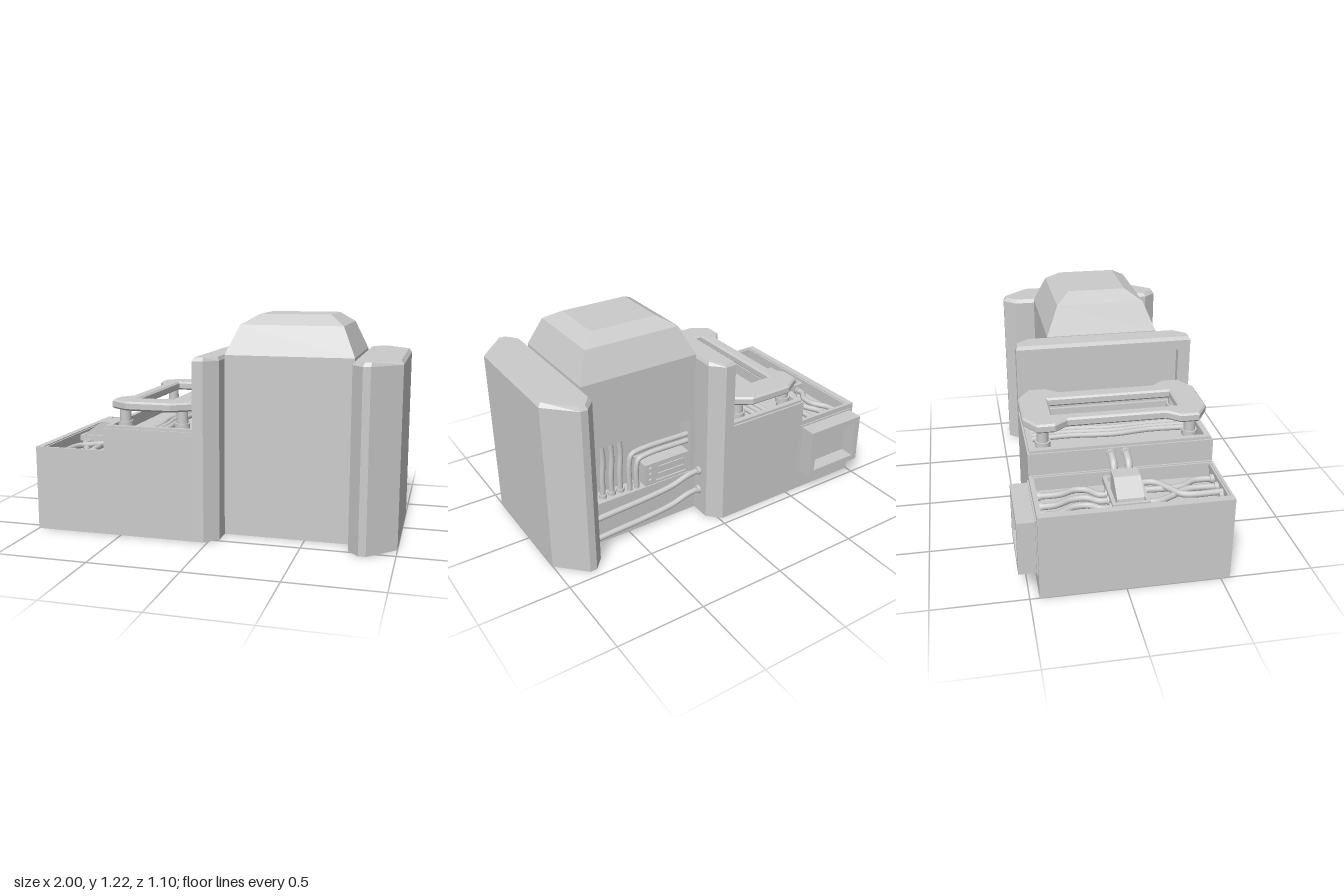
import * as THREE from 'three';

const mat = new THREE.MeshStandardMaterial({ color: 0xcccccc, side: THREE.DoubleSide });

export function createModel() {
  const root = new THREE.Group();
  const add = (name, geo) => {
    const m = new THREE.Mesh(geo, mat);
    m.name = name;
    root.add(m);
    return m;
  };
  const box = (name, x0, x1, y0, y1, z0, z1) =>
    add(name, new THREE.BoxGeometry(x1 - x0, y1 - y0, z1 - z0)
      .translate((x0 + x1) / 2, (y0 + y1) / 2, (z0 + z1) / 2));
  const rect = (a0, a1, b0, b1) => [[a0, b0], [a1, b0], [a1, b1], [a0, b1]];
  const toShape = (pts, hole) => {
    const s = new THREE.Shape(pts.map(p => new THREE.Vector2(...p)));
    if (hole) s.holes.push(new THREE.Path(hole.map(p => new THREE.Vector2(...p))));
    return s;
  };
  const extrude = (pts, hole, depth) =>
    new THREE.ExtrudeGeometry(toShape(pts, hole), { depth, bevelEnabled: false });
  // upright prism from an (x, z) outline
  const prism = (name, pts, y0, y1, hole) =>
    add(name, extrude(pts, hole, y1 - y0).rotateX(Math.PI / 2).translate(0, y1, 0));
  // stacked (x, z) outlines, closed with a flat top
  const loft = (name, rings) => {
    const v = [], n = rings[0].pts.length;
    const put = (r, i) => v.push(r.pts[i % n][0], r.y, r.pts[i % n][1]);
    for (let k = 0; k < rings.length - 1; k++) {
      const a = rings[k], b = rings[k + 1];
      for (let i = 0; i < n; i++) {
        put(a, i); put(b, i); put(b, i + 1);
        put(a, i); put(b, i + 1); put(a, i + 1);
      }
    }
    const top = rings[rings.length - 1];
    for (let i = 1; i < n - 1; i++) { put(top, 0); put(top, i + 1); put(top, i); }
    const g = new THREE.BufferGeometry();
    g.setAttribute('position', new THREE.Float32BufferAttribute(v, 3));
    g.computeVertexNormals();
    return add(name, g);
  };
  const inset = (pts, d) => {
    const b = new THREE.Box2().setFromPoints(pts.map(p => new THREE.Vector2(...p)));
    const c = b.getCenter(new THREE.Vector2()), s = b.getSize(new THREE.Vector2());
    return pts.map(([x, z]) => [c.x + (x - c.x) * (1 - 2 * d / s.x), c.y + (z - c.y) * (1 - 2 * d / s.y)]);
  };
  const tube = (name, pts, r) => {
    const c = new THREE.CatmullRomCurve3(pts.map(p => new THREE.Vector3(...p)));
    return add(name, new THREE.TubeGeometry(c, 32, r, 10));
  };
  const cyl = (name, r, h, x, y, z, axis = 'y') => {
    const g = new THREE.CylinderGeometry(r, r, h, 16);
    if (axis === 'x') g.rotateZ(Math.PI / 2);
    if (axis === 'z') g.rotateX(Math.PI / 2);
    return add(name, g.translate(x, y, z));
  };

  // Low block with open tray
  box('lowBlock', -1, -0.59, 0, 0.385, -0.45, 0.55);
  prism('lowTrayRim', rect(-1, -0.59, -0.45, 0.55), 0.385, 0.475, rect(-0.96, -0.6, -0.435, 0.535));
  prism('lowTrayLip', rect(-0.965, -0.595, -0.44, 0.54), 0.44, 0.47, rect(-0.95, -0.61, -0.425, 0.525));
  const trayPipes = [
    [[-0.9, -0.43], [-0.9, -0.34], [-0.85, -0.25], [-0.85, -0.17], [-0.89, -0.11], [-0.89, -0.05]],
    [[-0.82, -0.43], [-0.82, -0.34], [-0.78, -0.25], [-0.78, -0.17], [-0.82, -0.11], [-0.82, -0.05]],
    [[-0.72, -0.43], [-0.72, -0.3], [-0.69, -0.22], [-0.7, -0.16], [-0.76, -0.1], [-0.76, -0.05]],
    [[-0.87, 0.11], [-0.87, 0.18], [-0.83, 0.27], [-0.78, 0.36], [-0.78, 0.53]],
    [[-0.7, 0.11], [-0.71, 0.2], [-0.78, 0.26], [-0.85, 0.32], [-0.86, 0.53]],
    [[-0.75, 0.11], [-0.75, 0.33], [-0.7, 0.42], [-0.7, 0.53]],
  ];
  trayPipes.forEach((p, i) => {
    tube('trayPipe', p.map(([x, z]) => [x, 0.425 + (i === 4 ? 0.015 : 0), z]), 0.017);
    for (const [x, z] of [p[0], p[p.length - 1]]) {
      const zc = z + (z < -0.2 || (z > 0 && z < 0.2) ? 0.015 : -0.015);
      cyl('pipeCollar', 0.024, 0.02, x, 0.425, zc, 'z');
    }
  });

  // Junction box with wedge cover and elbow pipes
  box('junctionBox', -0.92, -0.65, 0.385, 0.44, -0.055, 0.12);
  prism('junctionRim', rect(-0.93, -0.64, -0.065, 0.13), 0.43, 0.465, rect(-0.91, -0.66, -0.045, 0.11));
  add('wedgeCover', extrude([[-0.905, 0.44], [-0.72, 0.44], [-0.72, 0.545], [-0.8, 0.545], [-0.9, 0.475]],
    null, 0.14).translate(0, 0, -0.037));
  for (const z of [-0.01, 0.07]) {
    tube('elbowPipe', [[-0.69, 0.42, z], [-0.69, 0.5, z], [-0.665, 0.55, z], [-0.62, 0.568, z], [-0.57, 0.57, z]], 0.02);
    cyl('elbowCollar', 0.027, 0.02, -0.6, 0.57, z, 'x');
  }

  // Framed port on the back
  const port = rect(-0.97, -0.59, 0.135, 0.435);
  add('portFrame', extrude(port, rect(-0.935, -0.625, 0.17, 0.4), 0.085).translate(0, 0, -0.55));
  box('portPlate', -0.97, -0.59, 0.135, 0.435, -0.465, -0.45);
  box('portFlange', -0.98, -0.58, 0.125, 0.445, -0.457, -0.45);

  // Middle block with open tray
  box('middleBlock', -0.59, -0.08, 0, 0.55, -0.45, 0.55);
  const midHole = rect(-0.55, -0.1, -0.41, 0.51);
  prism('middleTrayRim', rect(-0.59, -0.08, -0.45, 0.55), 0.55, 0.6, midHole);
  prism('middleTrayLip', rect(-0.58, -0.08, -0.44, 0.54), 0.6, 0.615, midHole);
  [-0.375, -0.335, -0.295].forEach((x, i) =>
    tube('middlePipe', [[x, 0.575, -0.41], [x + 0.01, 0.575, -0.2], [x - 0.01, 0.575, 0.05],
      [x + 0.012 - i * 0.006, 0.575, 0.25], [x, 0.575, 0.51]], 0.015));

  // Waisted plate with a slot, on four posts
  const half = [[0.125, 0.49], [0.22, 0.43], [0.22, 0.34], [0.165, 0.27]];
  const flip = (sx, sz) => half.map(([x, z]) => [-0.332 + sx * x, 0.04 + sz * z]);
  const outline = [...flip(1, 1), ...flip(1, -1).reverse(), ...flip(-1, -1), ...flip(-1, 1).reverse()];
  add('slottedPlate', new THREE.ExtrudeGeometry(toShape(outline, rect(-0.45, -0.235, -0.31, 0.4)),
    { depth: 0.03, bevelSize: 0.01, bevelThickness: 0.01, bevelSegments: 1 })
    .rotateX(Math.PI / 2).translate(0, 0.74, 0));
  for (const x of [-0.5, -0.17]) for (const z of [-0.36, 0.44]) {
    cyl('platePost', 0.032, 0.16, x, 0.63, z);
    cyl('postFoot', 0.042, 0.03, x, 0.615, z);
  }

  // Tall divider with recessed side face
  const divider = [[-0.08, -0.45], [-0.02, -0.45], [0.05, -0.38], [0.05, 0.48], [-0.02, 0.55], [-0.08, 0.55]];
  prism('dividerCore', divider.map(([x, z]) => [Math.max(x, -0.04), z]), 0, 0.98);
  add('dividerFrame', extrude(rect(-0.45, 0.55, 0, 0.98), rect(-0.38, 0.48, 0.64, 0.925), 0.04)
    .rotateY(-Math.PI / 2).translate(-0.04, 0, 0));
  loft('dividerCap', [{ y: 0.98, pts: divider }, { y: 1, pts: inset(divider, 0.01) }]);

  // End slab with chamfered corners
  const slab = [[0.75, -0.38], [0.81, -0.45], [0.85, -0.45], [1, -0.3], [1, 0.4], [0.85, 0.55], [0.81, 0.55], [0.75, 0.48]];
  prism('endSlab', slab, 0, 0.978);
  loft('endSlabCap', [{ y: 0.978, pts: slab }, { y: 1, pts: inset(slab, 0.015) }]);

  // Central tower, recessed at the back, with a sloped roof
  box('towerCore', 0.05, 0.75, 0, 1, -0.16, 0.375);
  add('towerBack', extrude(rect(0.05, 0.75, 0, 1), rect(0.085, 0.69, 0.26, 0.61), 0.1).translate(0, 0, -0.26));
  loft('towerRoof', [
    { y: 1, pts: rect(0.05, 0.75, -0.26, 0.375) },
    { y: 1.16, pts: rect(0.12, 0.68, -0.19, 0.31) },
    { y: 1.215, pts: rect(0.21, 0.6, -0.11, 0.22) },
  ]);

  // Pipes and control unit inside the back recess
  for (const x of [0.63, 0.575, 0.52]) {
    tube('recessPipe', [[x, 0.26, -0.21], [x, 0.38, -0.21], [x - 0.008, 0.5, -0.21], [x, 0.61, -0.21]], 0.016);
    cyl('recessCollar', 0.023, 0.02, x, 0.27, -0.21);
  }
  for (const d of [0, 0.045])
    tube('recessElbow', [[0.47 - d, 0.26, -0.23], [0.47 - d, 0.43 - d, -0.23], [0.455 - d, 0.485 - d, -0.23],
      [0.4 - d, 0.5 - d, -0.23], [0.085, 0.5 - d, -0.23]], 0.016);
  box('controlUnit', 0.11, 0.4, 0.285, 0.42, -0.275, -0.16);
  add('controlFrame', extrude(rect(0.11, 0.4, 0.285, 0.42), rect(0.125, 0.33, 0.3, 0.405), 0.012).translate(0, 0, -0.285));
  for (const y of [0.33, 0.375]) box('controlBar', 0.14, 0.31, y - 0.01, y + 0.01, -0.283, -0.27);
  for (const y of [0.315, 0.353, 0.39]) cyl('controlKnob', 0.012, 0.02, 0.365, y, -0.285, 'z');

  // Pipes crossing behind the tower
  for (const y of [0.2, 0.07]) {
    tube('crossPipe', [[0.76, y, -0.305], [0.6, y + 0.01, -0.305], [0.42, y + 0.02, -0.305],
      [0.24, y + 0.04, -0.305], [0.12, y + 0.075, -0.305], [0.04, y + 0.08, -0.305]], 0.017);
    cyl('crossCollar', 0.025, 0.02, 0.74, y, -0.305, 'x');
    cyl('crossCollar', 0.025, 0.02, 0.06, y + 0.08, -0.305, 'x');
  }
  return root;
}
